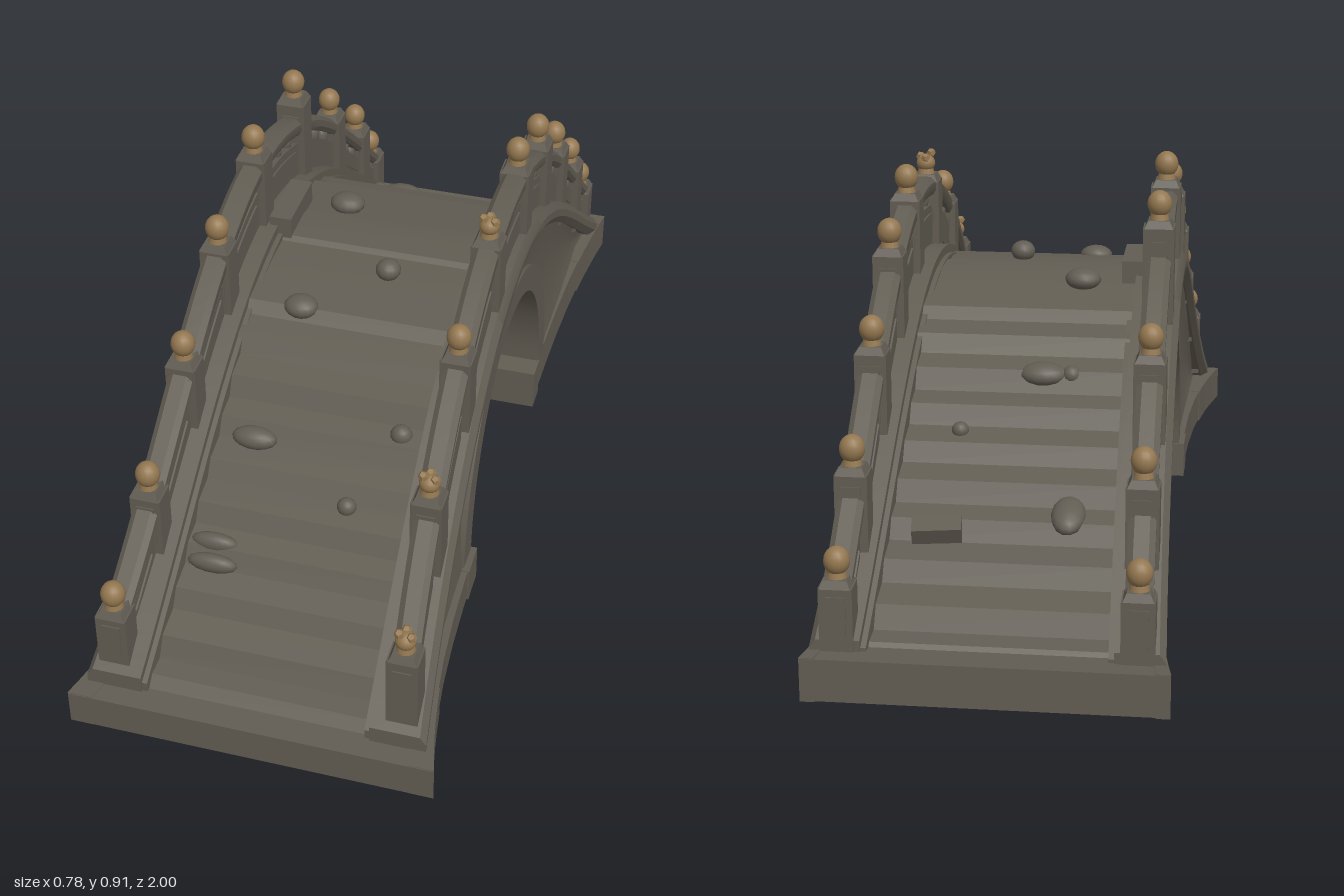
import * as THREE from 'three';
import { toCreasedNormals } from 'three/addons/utils/BufferGeometryUtils.js';

const stone = new THREE.MeshStandardMaterial({ color: 0x625d53 });
stone.name = 'weathered stone';
const gold = new THREE.MeshStandardMaterial({ color: 0x937750 });
gold.name = 'worn gold';

// Curb height, bridge half width and railing centre line along z
const curbY = z => 0.675 - 0.372 * (1 - Math.cos(2.1 * z));
const halfW = z => 0.33 + (z > 0 ? 0.04 : 0.018) * Math.abs(z) ** 3;
const railX = z => 0.283 + (z > 0 ? 0.035 : 0.008) * z ** 4;
const footW = z => (z > 0 ? 0.318 + 0.07 * z ** 4 : 0.308 + 0.044 * z ** 4);
const railH = (z, s) => 0.155 - 0.06 * z * z + (s > 0 && z > 0 ? 0.04 * z : 0);
// Walking surface, nearly level with the curb at the crown and sunk below it on the slopes
const deckY = z => {
  const sink = 0.02 + 0.045 * THREE.MathUtils.smoothstep(Math.abs(z), 0.2, 0.5);
  return Math.max(0.105, Math.min(0.645, curbY(z) - sink));
};

let seed = 7;
const rand = () => ((seed = (seed * 16807) % 2147483647) / 2147483647) * 2 - 1;

function add(parent, name, geo, mat = stone, x = 0, y = 0, z = 0) {
  const m = new THREE.Mesh(geo, mat);
  m.name = name;
  m.position.set(x, y, z);
  parent.add(m);
  return m;
}

// Solid swept along z from a section, counter-clockwise seen from +z
function sweep(z0, z1, n, section, side = 1) {
  const pos = [], idx = [];
  let k = 0;
  for (let i = 0; i <= n; i++) {
    const z = z0 + (z1 - z0) * i / n;
    let pts = section(z);
    if (side < 0) pts = pts.map(([x, y]) => [-x, y]).reverse();
    k = pts.length;
    pts.forEach(([x, y]) => pos.push(x, y, z));
  }
  for (let i = 0; i < n; i++) for (let j = 0; j < k; j++) {
    const a = i * k + j, b = i * k + (j + 1) % k;
    idx.push(a, b, b + k, a, b + k, a + k);
  }
  for (let j = 1; j < k - 1; j++) {
    idx.push(0, j + 1, j, n * k, n * k + j, n * k + j + 1);
  }
  const g = new THREE.BufferGeometry();
  g.setAttribute('position', new THREE.Float32BufferAttribute(pos, 3));
  g.setIndex(idx);
  return toCreasedNormals(g, 0.6);
}
const rect = (x0, x1, y0, y1) => [[x0, y0], [x1, y0], [x1, y1], [x0, y1]];

// Side profile (z, y) extruded across x, centred on x = 0
function profile(points, width) {
  const shape = new THREE.Shape(points.map(p => new THREE.Vector2(...p)));
  const g = new THREE.ExtrudeGeometry(shape, { depth: width, bevelEnabled: false });
  return toCreasedNormals(g.rotateY(-Math.PI / 2).translate(width / 2, 0, 0), 0.5);
}
function archPoints(rx, ry, n = 32) {
  return Array.from({ length: n + 1 }, (_, i) => {
    const a = Math.PI * (1 - i / n);
    return [rx * Math.cos(a), 0.1 + ry * Math.sin(a)];
  });
}

function buildArch(g) {
  add(g, 'archVault', profile([...archPoints(0.355, 0.4), ...archPoints(0.42, 0.46).reverse()], 0.62));
  for (const s of [-1, 1]) {
    // Wall coved outward towards the curb and the foot
    add(g, 'sideWall', sweep(-0.95, 0.95, 150, z => {
      const hi = Math.max(0.1, curbY(z) - 0.03);
      const lo = Math.abs(z) < 0.39 ? 0.1 + 0.43 * Math.sqrt(1 - (z / 0.39) ** 2) : 0.085;
      const pts = [[0.25, lo]];
      for (let i = 0; i <= 6; i++) {
        const y = lo + (hi - lo) * i / 6;
        const t = Math.max(0, Math.min(1, (y - 0.085) / (hi - 0.085)));
        pts.push([halfW(z) - 0.042 + 0.03 * t ** 4 + 0.018 * (1 - t) ** 3, y]);
      }
      return [...pts, [0.25, hi]];
    }, s));
    // Rounded curb stones along the upper edge
    add(g, 'curb', sweep(-0.955, 0.955, 48, z => {
      const c = curbY(z), w = halfW(z), lo = Math.max(0.09, c - 0.06), h = (c - lo) / 3;
      const inner = 0.226 + 0.02 * z * z;
      return [[inner, lo], [w - 0.015, lo], [w - 0.002, lo + h], [w - 0.002, c - h], [w - 0.015, c], [inner, c]];
    }, s));
    add(g, 'innerCurbStep', sweep(-0.95, 0.95, 40, z =>
      rect(0.215 + 0.02 * z * z, 0.25, Math.max(0.085, curbY(z) - 0.12), curbY(z) - 0.02), s));
  }
}

function buildFeet(g) {
  // Each foot is a hollow frame; the rear one is thinner and tilted slightly
  for (const d of [1, -1]) {
    const near = d > 0 ? 0.35 : 0.3, inset = d > 0 ? 0.05 : 0.025;
    const lo = z => d > 0 ? 0.03 : 0.004 + 0.034 * (-z - 0.3) / 0.7;
    const hi = z => d > 0 ? 0.108 : 0.1 + 0.025 * (-z - 0.3) / 0.7;
    const bar = (name, a, b, full, side, grow = 0) => {
      const [z0, z1] = d > 0 ? [a, b] : [-b, -a];
      add(g, name, sweep(z0, z1, 5, z => {
        const w = footW(z) + grow;
        return rect(full ? -w : footW(z) - inset, w, lo(z) - grow, hi(z) + grow / 2);
      }, side));
    };
    bar('footEnd', 0.92, 1, true, 1);
    bar('footArchBlock', near, d > 0 ? 0.43 : 0.36, true, 1, 0.004);
    for (const s of [-1, 1]) {
      bar('footSide', 0.35, 0.93, false, s);
      bar('footCorner', 0.78, 0.998, false, s, 0.003);
    }
  }
}

function buildSteps(g) {
  // Worn treads with slanted risers, from the front foot over the crown to the back foot
  const half = [];
  const count = 10, pitch = 0.076;
  for (let i = 0; i < count; i++) {
    const zo = 0.95 - i * pitch + rand() * 0.006;
    const rise = deckY(0.95 - (i + 1) * pitch) - deckY(zo);
    half.push([zo, deckY(zo)], [zo - 0.3 * pitch, deckY(zo) + 0.72 * rise]);
  }
  half.push([0.19, deckY(0.19)], [0.12, 0.638]);
  const back = half.map(([z, y]) => [-z, y]).reverse();
  const top = [...half, [0.045, 0.64], [0.035, 0.65], [-0.05, 0.652], ...back];
  const under = top.map(([z, y]) => [z, y - 0.045]).reverse();
  add(g, 'steps', profile([...top, ...under], 0.5));
}

function buildFinial(g, x, top, z, broken) {
  const f = new THREE.Group();
  f.name = broken ? 'brokenFinial' : 'finial';
  f.position.set(x, top, z);
  g.add(f);
  add(f, 'finialNeck', new THREE.CylinderGeometry(0.017, 0.021, 0.016, 12), gold, 0, -0.057, 0);
  if (broken) {
    add(f, 'finialStump', new THREE.SphereGeometry(0.022, 14, 10), gold, 0, -0.038, 0).scale.y = 0.9;
    for (let i = 0; i < 3; i++) {
      const a = i * 2.1 + 0.4;
      add(f, 'finialShard', new THREE.DodecahedronGeometry(0.011), gold,
        0.014 * Math.cos(a), -0.024 + 0.008 * (i % 2), 0.014 * Math.sin(a));
    }
  } else {
    add(f, 'finialBall', new THREE.SphereGeometry(0.026, 16, 12), gold, 0, -0.029, 0).scale.y = 1.1;
  }
}

function buildRailing(g, s, posts) {
  posts.forEach(([z, top, broken], i) => {
    // Post with cap, raised facing and gold finial
    const x = s * railX(z), head = top - 0.062, foot = curbY(z) - 0.05, h = head - 0.015 - foot;
    add(g, 'post', new THREE.BoxGeometry(0.066, h, 0.056), stone, x, foot + h / 2, z);
    add(g, 'postFacing', new THREE.BoxGeometry(0.04, h * 0.6, 0.062), stone, x, foot + h * 0.58, z);
    const cap = new THREE.CylinderGeometry(0.032, 0.043, 0.016, 4).rotateY(Math.PI / 4);
    add(g, 'postCap', toCreasedNormals(cap, 0.3), stone, x, head - 0.008, z);
    buildFinial(g, x, top, z, broken);
    if (i === posts.length - 1) return;

    // Panel, pierced band and handrail between neighbouring posts
    const z1 = posts[i + 1][0], c = curbY, r = v => railH(v, s);
    add(g, 'railPanel', sweep(z, z1, 6, v => {
      const m = railX(v);
      return rect(m - 0.017, m + 0.017, c(v) - 0.02, c(v) + r(v) - 0.066);
    }, s));
    add(g, 'panelFacing', sweep(z + 0.05, z1 - 0.05, 5, v => {
      const m = railX(v);
      return rect(m - 0.021, m + 0.021, c(v) + 0.015, c(v) + r(v) - 0.085);
    }, s));
    add(g, 'handrail', sweep(z, z1, 6, v => {
      const m = railX(v), t = c(v) + r(v);
      return [[m - 0.02, t - 0.042], [m + 0.02, t - 0.042], [m + 0.027, t - 0.03], [m + 0.027, t - 0.012],
        [m + 0.015, t], [m - 0.015, t], [m - 0.027, t - 0.012], [m - 0.027, t - 0.03]];
    }, s));
    for (let k = 1; k < 4; k++) {
      const v = z + (z1 - z) * k / 4;
      add(g, 'railSupport', new THREE.SphereGeometry(0.022, 10, 8), stone,
        s * railX(v), c(v) + r(v) - 0.054, v).scale.set(0.7, 1.2, 0.8);
    }
  });
}

function buildRubble(g) {
  // x, z, half width, half depth
  const stones = [[-0.13, -0.67, 0.035, 0.055], [0.11, -0.51, 0.018, 0.018], [-0.05, -0.39, 0.05, 0.033],
    [-0.11, -0.39, 0.02, 0.02], [-0.11, -0.12, 0.04, 0.035], [0.05, 0.11, 0.028, 0.028],
    [-0.11, 0.24, 0.038, 0.032], [-0.14, 0.49, 0.05, 0.027], [0.17, 0.44, 0.024, 0.022],
    [0.09, 0.58, 0.021, 0.02], [-0.17, 0.68, 0.052, 0.02], [-0.165, 0.715, 0.055, 0.02]];
  for (const [x, z, a, b] of stones) {
    const m = add(g, 'looseStone', new THREE.SphereGeometry(1, 14, 10), stone, x, deckY(z) + 0.01, z);
    m.scale.set(a, Math.min(0.024, a), b);
    m.rotation.x = 0.5 * z;
  }
  const chunk = add(g, 'fallenBlock', new THREE.BoxGeometry(0.1, 0.04, 0.045), stone, 0.13, deckY(0.71) + 0.015, -0.71);
  chunk.rotation.set(-0.4, 0.1, 0);
  add(g, 'fallenSlab', new THREE.BoxGeometry(0.05, 0.05, 0.16), stone, -0.22, 0.67, -0.04);
}

export function createModel() {
  const bridge = new THREE.Group();
  bridge.name = 'archedStoneBridge';
  buildArch(bridge);
  buildFeet(bridge);
  buildSteps(bridge);
  buildRubble(bridge);
  // Posts: z, top of finial, broken
  buildRailing(bridge, -1, [[-0.93, 0.33], [-0.78, 0.5], [-0.55, 0.68], [-0.27, 0.89], [0.02, 0.915],
    [0.27, 0.84], [0.5, 0.7], [0.72, 0.525], [0.91, 0.36]]);
  buildRailing(bridge, 1, [[-0.93, 0.33], [-0.77, 0.5], [-0.55, 0.68], [-0.33, 0.83], [-0.11, 0.9],
    [0.16, 0.885, true], [0.42, 0.775], [0.67, 0.605, true], [0.91, 0.405, true]]);
  return bridge;
}
